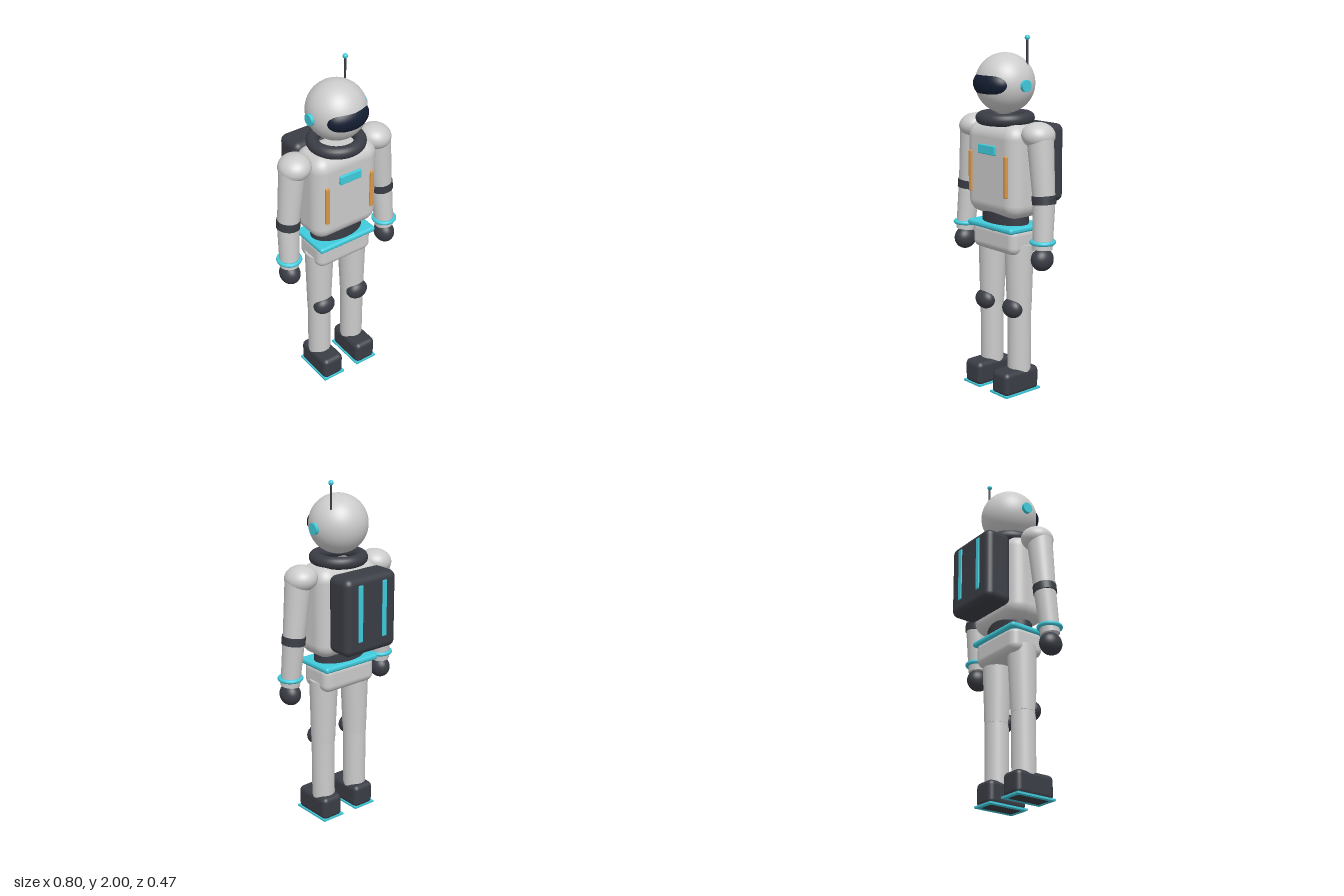
import * as THREE from 'three';
import { RoundedBoxGeometry } from 'three/addons/geometries/RoundedBoxGeometry.js';

const material = (color) => new THREE.MeshStandardMaterial({ color });

export function createModel() {
  const root = new THREE.Group();
  const shell = material(0xcccccc);
  const dark = material(0x3a3d45);
  const teal = material(0x40cbdc);
  const orange = material(0xdc9848);
  const glass = material(0x141e33);

  const add = (name, geometry, mat, x, y, z) => {
    const mesh = new THREE.Mesh(geometry, mat);
    mesh.name = name;
    mesh.position.set(x, y, z);
    root.add(mesh);
    return mesh;
  };
  const box = (name, mat, [w, h, d], r, x, y, z) =>
    add(name, new RoundedBoxGeometry(w, h, d, 5, r), mat, x, y, z);
  const ellipsoid = (name, mat, [a, b, c], x, y, z) =>
    add(name, new THREE.SphereGeometry(1, 48, 32).scale(a, b, c), mat, x, y, z);
  // Tapered cylinder between two points
  const limb = (name, mat, from, to, r0, r1) => {
    const dir = to.clone().sub(from);
    const mid = from.clone().add(to).multiplyScalar(0.5);
    const mesh = add(name, new THREE.CylinderGeometry(r1, r0, dir.length(), 40), mat, mid.x, mid.y, mid.z);
    mesh.quaternion.setFromUnitVectors(new THREE.Vector3(0, 1, 0), dir.normalize());
    return mesh;
  };
  const v = (x, y, z) => new THREE.Vector3(x, y, z);

  // Head, visor and antenna
  ellipsoid('head', shell, [0.165, 0.165, 0.165], 0, 1.74, 0.06);
  ellipsoid('visor', glass, [0.132, 0.083, 0.085], 0, 1.74, 0.149);
  limb('antennaRod', dark, v(0.105, 1.82, -0.007), v(0.105, 1.985, -0.007), 0.006, 0.006);
  ellipsoid('antennaTip', teal, [0.014, 0.014, 0.014], 0.105, 1.986, -0.007);

  // Collar ring
  add('collar', new THREE.TorusGeometry(0.128, 0.035, 20, 56).rotateX(Math.PI / 2), dark, 0, 1.55, 0.06);

  // Body
  box('torso', shell, [0.42, 0.52, 0.25], 0.08, 0, 1.27, 0.06);
  box('chestPanel', teal, [0.14, 0.052, 0.03], 0.005, 0, 1.385, 0.184);
  add('waist', new THREE.CylinderGeometry(0.16, 0.16, 0.17, 48).scale(1, 1, 0.64), dark, 0, 1.015, 0.06);
  box('belt', teal, [0.375, 0.034, 0.25], 0.015, 0, 0.952, 0.06);
  box('hips', shell, [0.36, 0.155, 0.215], 0.045, 0, 0.883, 0.055);

  // Backpack
  box('backpack', dark, [0.356, 0.44, 0.168], 0.04, 0, 1.29, -0.144);

  // Mirrored parts
  for (const s of [1, -1]) {
    const side = s > 0 ? 'left' : 'right';
    const name = (part) => side + part;

    limb(name('EarDisc'), teal, v(s * 0.13, 1.735, 0.06), v(s * 0.18, 1.735, 0.06), 0.032, 0.032);
    box(name('ChestStrip'), orange, [0.025, 0.23, 0.022], 0.006, s * 0.147, 1.25, 0.184);
    box(name('PackStrip'), teal, [0.03, 0.32, 0.02], 0.004, s * 0.084, 1.31, -0.224);

    // Arm, angled slightly outward and forward
    const shoulder = v(s * 0.283, 1.46, 0.058);
    const elbow = v(s * 0.317, 1.14, 0.06);
    const wrist = v(s * 0.331, 0.87, 0.081);
    ellipsoid(name('Shoulder'), shell, [0.09, 0.071, 0.094], s * 0.265, 1.48, 0.055).rotation.z = -s * 0.12;
    limb(name('UpperArm'), shell, shoulder, elbow, 0.073, 0.061);
    limb(name('Forearm'), shell, elbow, wrist, 0.062, 0.054);
    limb(name('ElbowBand'), dark, v(s * 0.315, 1.162, 0.06), v(s * 0.32, 1.116, 0.061), 0.066, 0.066);
    add(name('Bracelet'), new THREE.TorusGeometry(0.06, 0.012, 12, 48).rotateX(Math.PI / 2),
      teal, s * 0.33, 0.911, 0.079);
    ellipsoid(name('Hand'), dark, [0.056, 0.064, 0.067], s * 0.331, 0.815, 0.083);

    // Leg
    limb(name('Thigh'), shell, v(s * 0.113, 0.86, 0.057), v(s * 0.118, 0.475, 0.06), 0.082, 0.069);
    limb(name('Shin'), shell, v(s * 0.118, 0.5, 0.06), v(s * 0.118, 0.1, 0.06), 0.067, 0.066);
    ellipsoid(name('KneePad'), dark, [0.067, 0.057, 0.05], s * 0.118, 0.495, 0.11);

    // Boot and sole
    box(name('Boot'), dark, [0.136, 0.14, 0.25], 0.03, s * 0.118, 0.07, 0.09);
    add(name('Sole'), new THREE.BoxGeometry(0.142, 0.011, 0.254), teal, s * 0.118, 0.0065, 0.09);
  }
  return root;
}
